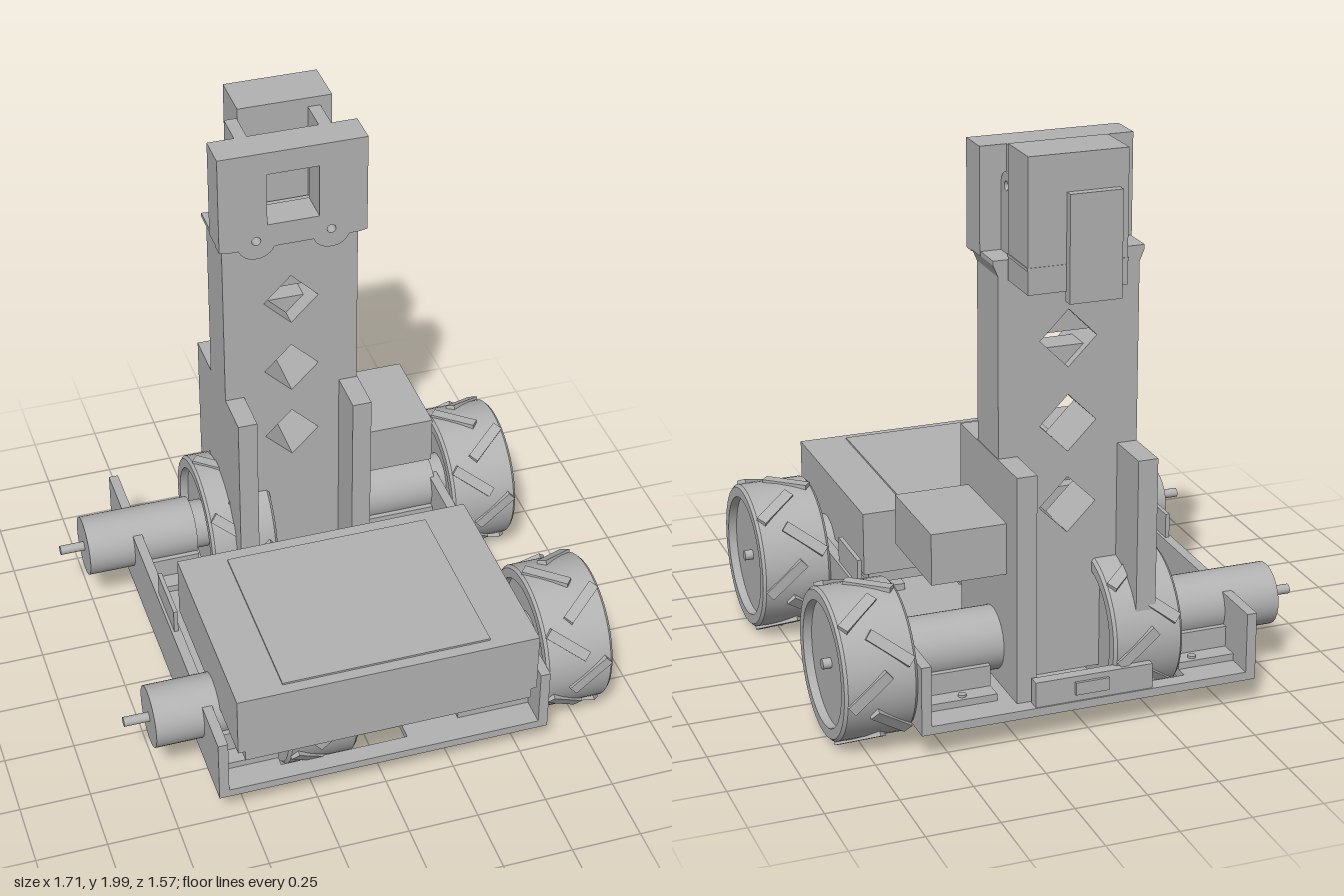
import * as THREE from 'three';

export function createModel() {
  const root = new THREE.Group();
  root.name = 'wheeledRobot';
  const grey = new THREE.MeshStandardMaterial({ color: 0xb2b2b2 });
  grey.name = 'plain grey';

  const add = (name, geo, parent = root) => {
    const m = new THREE.Mesh(geo, grey);
    m.name = name;
    parent.add(m);
    return m;
  };
  // Box given by its limits on each axis
  const box = (name, x0, x1, y0, y1, z0, z1, parent) =>
    add(name, new THREE.BoxGeometry(x1 - x0, y1 - y0, z1 - z0)
      .translate((x0 + x1) / 2, (y0 + y1) / 2, (z0 + z1) / 2), parent);
  // Cylinder lying along x
  const rod = (name, x0, x1, r, y, z, parent) =>
    add(name, new THREE.CylinderGeometry(r, r, x1 - x0, 40).rotateZ(Math.PI / 2)
      .translate((x0 + x1) / 2, y, z), parent);
  const poly = (pts, Type = THREE.Shape) => new Type(pts.map(p => new THREE.Vector2(...p)));
  const rect = (x0, x1, y0, y1, Type) => poly([[x0, y0], [x1, y0], [x1, y1], [x0, y1]], Type);
  const circle = (x, y, r) => new THREE.Path().absarc(x, y, r, 0, Math.PI * 2, true);
  const extrude = (shape, depth) =>
    new THREE.ExtrudeGeometry(shape, { depth, bevelEnabled: false, curveSegments: 16 });

  // Chassis floor with openings for the inner wheels
  const floor = rect(-0.6, 0.6, -0.785, 0.745);
  floor.holes.push(rect(-0.36, 0.1, 0.25, 0.68, THREE.Path), rect(-0.36, -0.07, -0.73, -0.26, THREE.Path));
  add('chassisFloor', extrude(floor, 0.03).rotateX(Math.PI / 2).translate(0, 0.13, 0));
  for (const s of [-1, 1]) {
    const side = new THREE.Group();
    side.name = s > 0 ? 'leftChassisSide' : 'rightChassisSide';
    root.add(side);
    const sbox = (name, a, b, ...rest) => box(name, Math.min(s * a, s * b), Math.max(s * a, s * b), ...rest, side);
    sbox('sideWall', 0.565, 0.6, 0.1, 0.345, -0.785, 0.745);
    sbox('wallTab', 0.575, 0.59, 0.34, 0.435, -0.08, 0.14);
    sbox('columnSupport', 0.178, 0.248, 0.13, 0.935, -0.73, -0.19);
    sbox('supportFoot', 0.25, 0.34, 0.13, 0.16, -0.18, -0.09);
    add('footScrew', new THREE.CylinderGeometry(0.014, 0.014, 0.01, 16).translate(s * 0.297, 0.163, -0.135), side);
  }

  // Rear connector plate with socket
  box('rearConnectorPlate', -0.22, 0.2, 0.13, 0.22, -0.78, -0.74);
  box('rearSocket', -0.06, 0.06, 0.155, 0.2, -0.79, -0.775);

  // Battery case with a narrower foot and a shallow lid
  box('batteryCase', -0.54, 0.535, 0.33, 0.56, 0.02, 0.78);
  box('batteryCaseFoot', -0.515, 0.515, 0.29, 0.33, 0.03, 0.78);
  box('batteryLid', -0.37, 0.37, 0.56, 0.567, 0.07, 0.74);

  // Electronics
  box('controlBox', -0.16, 0.155, 0.13, 0.28, -0.2, 0.05);
  box('controlBoxPlugs', -0.18, 0.172, 0.17, 0.22, -0.11, -0.04);
  box('sideModule', 0.245, 0.51, 0.56, 0.74, -0.635, -0.265);

  // Wheel: recessed drum with diagonal tread bars, axis along x
  const wheelProfile = [[0, 0.095], [0.215, 0.095], [0.215, 0.125], [0.25, 0.125], [0.26, 0.115],
    [0.26, -0.115], [0.25, -0.125], [0.215, -0.125], [0.215, -0.095], [0, -0.095]]
    .reverse().map(p => new THREE.Vector2(...p));
  const drum = new THREE.LatheGeometry(wheelProfile, 48).toNonIndexed();
  // Smooth around the drum, sharp between its bands
  const faceted = drum.clone();
  faceted.computeVertexNormals();
  const pos = faceted.attributes.position, nor = faceted.attributes.normal;
  for (let i = 0; i < pos.count; i++) {
    const r = Math.hypot(pos.getX(i), pos.getZ(i));
    const n = new THREE.Vector3().fromBufferAttribute(nor, i);
    if (r < 0.01 || Math.abs(n.y) > 0.95) continue;
    const radial = Math.hypot(n.x, n.z);
    const sign = Math.sign(n.x * pos.getX(i) + n.z * pos.getZ(i));
    nor.setXYZ(i, sign * radial * pos.getX(i) / r, n.y, sign * radial * pos.getZ(i) / r);
  }
  faceted.rotateZ(-Math.PI / 2);

  const makeWheel = (x, y, z, name) => {
    const wheel = new THREE.Group();
    wheel.name = name;
    wheel.position.set(x, y, z);
    root.add(wheel);
    add('wheelDrum', faceted, wheel);
    rod('axleTip', 0.09, 0.125, 0.018, 0, 0, wheel);
    const bars = 12;
    for (let i = 0; i < bars; i++) {
      const s = i % 2 ? 1 : -1;
      const pivot = new THREE.Group();
      pivot.name = 'tread';
      pivot.rotation.x = (i / bars) * Math.PI * 2;
      wheel.add(pivot);
      const bar = add('treadBar', new THREE.BoxGeometry(0.17, 0.022, 0.038), pivot);
      bar.position.set(s * 0.04, 0.257, 0);
      bar.rotation.y = s * 0.7;
    }
  };

  // Four motor units: the inner pair sits 0.94 to the right of the outer pair
  for (const [z, end] of [[0.46, 'front'], [-0.5, 'rear']]) {
    for (const [x, side] of [[0.6, 'Left'], [-0.34, 'Right']]) {
      const y = 0.275;
      rod(end + side + 'Motor', x - 0.43, x - 0.02, 0.11, y, z);
      rod(end + side + 'MotorNose', x - 0.02, x + 0.04, 0.09, y, z);
      rod(end + side + 'MotorShaft', x - 0.52, x - 0.43, 0.017, y, z);
      makeWheel(x + 0.125, y, z, end + side + 'Wheel');
      // Motor saddle with screwed flanges
      const [a, b] = x > 0 ? [0.3, 0.565] : [-0.565, -0.36];
      box(end + side + 'MotorFlange', a, b, 0.13, 0.155, z - 0.185, z + 0.185);
      box(end + side + 'MotorSaddle', a, b, 0.13, 0.23, z - 0.12, z + 0.12);
      for (const s of [-1, 1])
        add('flangeScrew', new THREE.CylinderGeometry(0.014, 0.014, 0.012, 16)
          .translate(x > 0 ? 0.415 : -0.42, 0.157, z + s * 0.158));
    }
  }

  // Column with three diamond openings
  const column = poly([[-0.248, 0.13], [0.245, 0.13], [0.245, 1.56], [0.262, 1.6], [0.262, 1.615],
    [-0.265, 1.615], [-0.265, 1.6], [-0.248, 1.56]]);
  for (const y of [0.74, 1.03, 1.325])
    column.holes.push(poly([[-0.1, y], [0, y + 0.1], [0.1, y], [0, y - 0.1]], THREE.Path));
  add('column', extrude(column, 0.195).translate(0, 0, -0.55));
  box('upperOpeningFill', -0.09, 0.09, 1.34, 1.43, -0.52, -0.42);
  box('lowerOpeningFill', -0.09, 0.09, 1.22, 1.29, -0.52, -0.42);

  // Head face plate: square window and two rounded screw lugs below
  const face = new THREE.Shape();
  face.moveTo(-0.268, 1.965);
  face.lineTo(-0.268, 1.595);
  face.lineTo(-0.235, 1.59);
  face.lineTo(-0.2, 1.59);
  face.quadraticCurveTo(-0.18, 1.548, -0.135, 1.548);
  face.quadraticCurveTo(-0.09, 1.548, -0.07, 1.59);
  face.lineTo(0.07, 1.59);
  face.quadraticCurveTo(0.09, 1.548, 0.135, 1.548);
  face.quadraticCurveTo(0.18, 1.548, 0.2, 1.59);
  face.lineTo(0.235, 1.59);
  face.lineTo(0.265, 1.595);
  face.lineTo(0.265, 1.965);
  face.holes.push(rect(-0.095, 0.092, 1.68, 1.88, THREE.Path), circle(-0.135, 1.62, 0.016), circle(0.135, 1.62, 0.016));
  add('headFacePlate', extrude(face, 0.045).translate(0, 0, -0.357));
  const backing = rect(-0.268, 0.265, 1.6, 1.965);
  backing.holes.push(rect(-0.095, 0.092, 1.68, 1.88, THREE.Path));
  add('headBacking', extrude(backing, 0.08).translate(0, 0, -0.436));

  // Side brackets joining the face plate to the servo, each with a rounded horn
  const bracket = rect(0.435, 0.56, 1.6, 1.965);
  bracket.holes.push(circle(0.484, 1.912, 0.017));
  const horn = new THREE.Shape();
  horn.moveTo(0.435, 1.61);
  horn.lineTo(0.53, 1.61);
  horn.lineTo(0.53, 1.84);
  horn.absarc(0.484, 1.84, 0.046, 0, Math.PI, false);
  horn.holes.push(circle(0.484, 1.84, 0.016));
  for (const s of [-1, 1]) {
    add('headBracket', extrude(bracket, 0.045).rotateY(Math.PI / 2).translate(s * 0.15 - 0.0225, 0, 0));
    add('servoHorn', extrude(horn, 0.02).rotateY(Math.PI / 2).translate(s * 0.182 - 0.01, 0, 0));
  }

  // Servo body and its rear cover
  box('servoBody', -0.125, 0.215, 1.55, 2.0, -0.737, -0.56);
  box('servoBand', -0.128, 0.218, 1.63, 1.64, -0.739, -0.56);
  box('servoRearCover', -0.095, 0.085, 1.515, 1.875, -0.767, -0.73);
  return root;
}
